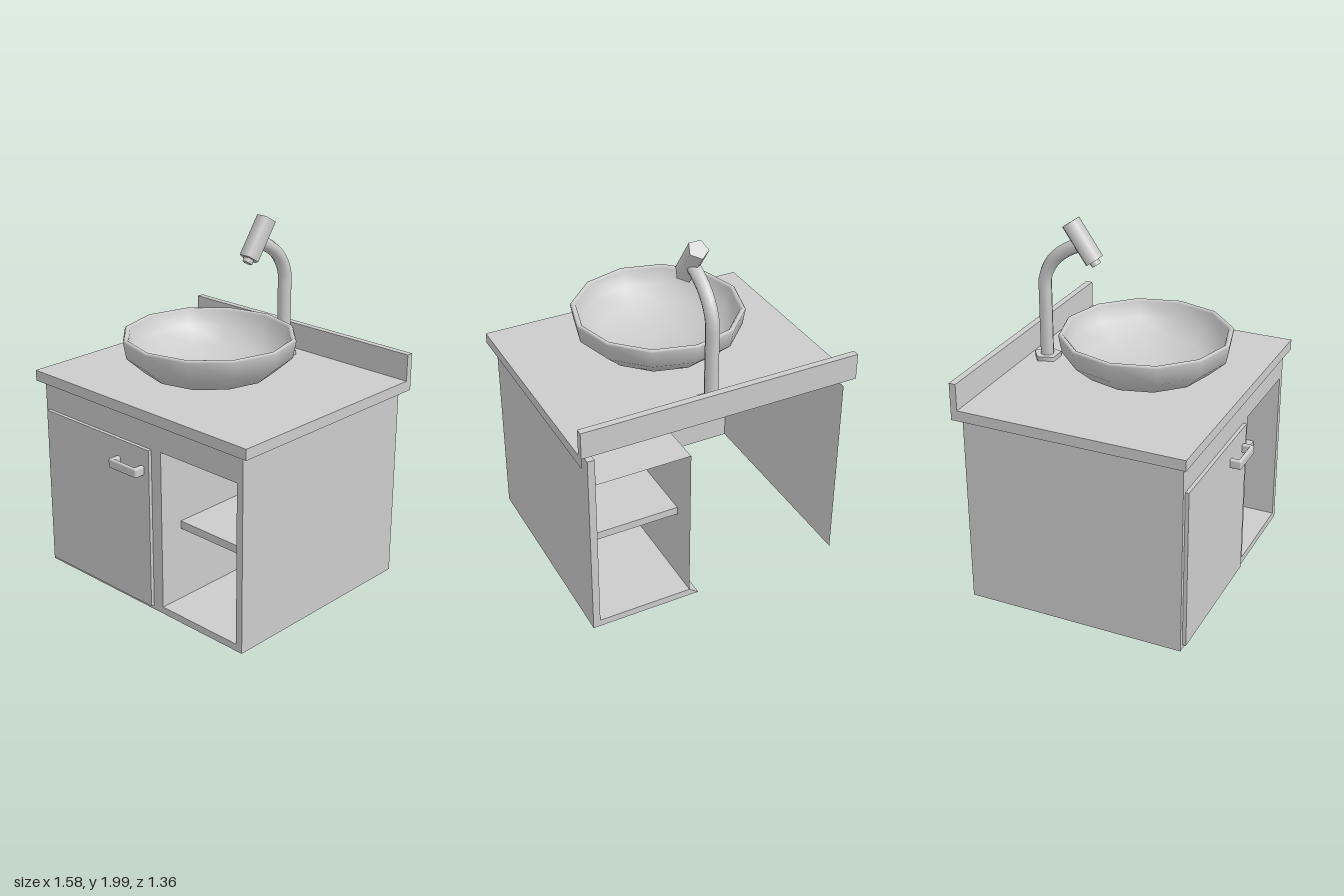
import * as THREE from 'three';
import { RoundedBoxGeometry } from 'three/addons/geometries/RoundedBoxGeometry.js';

const solid = new THREE.MeshStandardMaterial({ color: 0xcccccc });
const sheet = new THREE.MeshStandardMaterial({ color: 0xcccccc, side: THREE.DoubleSide });

export function createModel() {
  const model = new THREE.Group();
  const add = (name, geometry, material = solid, parent = model) => {
    const mesh = new THREE.Mesh(geometry, material);
    mesh.name = name;
    parent.add(mesh);
    return mesh;
  };
  // Box given by its limits on each axis
  const box = (name, [x0, x1], [y0, y1], [z0, z1], parent = model) => {
    const g = new THREE.BoxGeometry(x1 - x0, y1 - y0, z1 - z0);
    g.translate((x0 + x1) / 2, (y0 + y1) / 2, (z0 + z1) / 2);
    return add(name, g, solid, parent);
  };
  const depth = [-0.64, 0.6];
  const midZ = -0.02, depthSize = 1.24;

  // Cabinet: thin outer sheets, open at the back and below the door side
  const cabinet = new THREE.Group();
  cabinet.name = 'cabinet';
  model.add(cabinet);

  const front = new THREE.Shape([[-0.745, 0], [0.74, 0], [0.74, 1.1], [-0.745, 1.1]]
    .map(p => new THREE.Vector2(...p)));
  front.holes.push(new THREE.Path([[0.165, 0.04], [0.165, 0.945], [0.7, 0.945], [0.7, 0.04]]
    .map(p => new THREE.Vector2(...p))));
  add('frontPanel', new THREE.ShapeGeometry(front).translate(0, 0, 0.6), sheet, cabinet);

  const upright = (name, x, y0, y1) => add(name, new THREE.PlaneGeometry(depthSize, y1 - y0)
    .rotateY(Math.PI / 2).translate(x, (y0 + y1) / 2, midZ), sheet, cabinet);
  upright('rightSide', -0.745, 0, 1.1);
  upright('divider', 0.165, 0.04, 0.945);
  box('leftSide', [0.7, 0.74], [0, 1.1], depth, cabinet);

  // Open compartment: mitred floor, thin ceiling and recessed shelf
  const floor = new THREE.Shape([[0.11, 0], [0.7, 0], [0.7, 0.04], [0.165, 0.04]]
    .map(p => new THREE.Vector2(...p)));
  add('compartmentFloor', new THREE.ExtrudeGeometry(floor, { depth: depthSize, bevelEnabled: false })
    .translate(0, 0, depth[0]), solid, cabinet);
  add('compartmentCeiling', new THREE.PlaneGeometry(0.535, depthSize)
    .rotateX(-Math.PI / 2).translate(0.4325, 0.945, midZ), sheet, cabinet);
  box('shelf', [0.165, 0.7], [0.46, 0.505], [-0.49, 0.46], cabinet);

  // Door and its handle
  box('door', [-0.72, 0.095], [0.025, 0.94], [0.6, 0.62]);
  const handle = new THREE.Group();
  handle.name = 'handle';
  model.add(handle);
  add('handleBar', new RoundedBoxGeometry(0.21, 0.052, 0.022, 2, 0.009)
    .translate(-0.045, 0.816, 0.672), solid, handle);
  for (const x of [-0.136, 0.046])
    add('handleLeg', new RoundedBoxGeometry(0.028, 0.052, 0.06, 2, 0.009)
      .translate(x, 0.816, 0.645), solid, handle);

  // Countertop, left open along its back edge under the backsplash
  const counter = box('countertop', [-0.79, 0.787], [1.1, 1.16], [-0.68, 0.63]).geometry;
  counter.setIndex(Array.from(counter.index.array).slice(0, 30));
  counter.clearGroups();
  box('backsplash', [-0.79, 0.787], [1.16, 1.31], [-0.68, -0.642]);

  // Twelve-sided vessel basin: up the outside, over the rim, down the inside
  const basin = [[0, 1.162], [0.17, 1.162], [0.355, 1.23], [0.455, 1.32], [0.472, 1.415], [0.465, 1.425],
    [0.452, 1.425], [0.442, 1.415], [0.42, 1.33], [0.33, 1.25], [0.16, 1.195], [0, 1.19]];
  add('basin', new THREE.LatheGeometry(basin.map(p => new THREE.Vector2(...p)), 12)
    .translate(0, 0, 0.07), sheet);

  // Tap: pentagonal foot, bent pipe and tilted head
  const tap = new THREE.Group();
  tap.name = 'tap';
  model.add(tap);
  const pentagon = (r, h) => new THREE.CylinderGeometry(r, r, h, 5).rotateY(Math.PI);
  add('tapFoot', pentagon(0.078, 0.025).translate(0, 1.1725, -0.535), solid, tap);

  const bend = new THREE.Vector3(0, 1.62, -0.535);
  const path = new THREE.CurvePath();
  path.add(new THREE.LineCurve3(new THREE.Vector3(0, 1.17, -0.535), bend));
  path.add(new THREE.QuadraticBezierCurve3(bend,
    new THREE.Vector3(0, 1.77, -0.51), new THREE.Vector3(0, 1.845, -0.33)));
  add('tapPipe', new THREE.TubeGeometry(path, 20, 0.038, 8), sheet, tap);

  const head = new THREE.Group();
  head.name = 'tapHead';
  head.position.set(0, 1.868, -0.307);
  head.rotation.x = -0.61;
  tap.add(head);
  add('headBody', pentagon(0.057, 0.24), solid, head);
  add('nozzle', pentagon(0.03, 0.04).translate(0, -0.125, 0), solid, head);

  return model;
}
